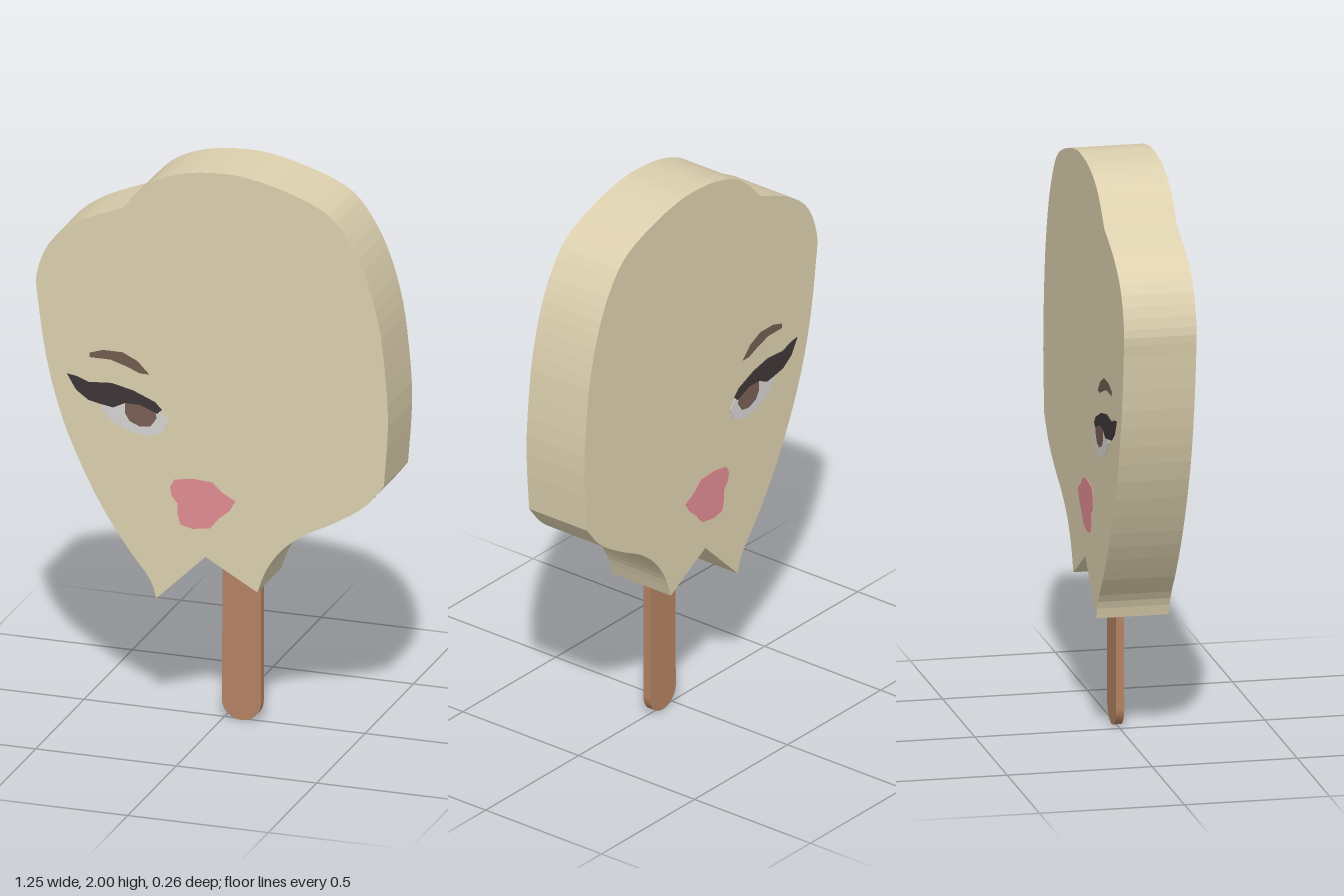
import * as THREE from 'three';

const mat = (name, color) => {
  const m = new THREE.MeshStandardMaterial({ color });
  m.name = name;
  return m;
};

const vectors = (pts) => pts.map(([x, y]) => new THREE.Vector2(x, y));

// Slab of a shape between two z values, with flat facets around the rim
function slab(name, shape, z0, z1, material, curveSegments = 6) {
  const geo = new THREE.ExtrudeGeometry(shape, { depth: z1 - z0, bevelEnabled: false, curveSegments });
  geo.translate(0, 0, z0);
  const mesh = new THREE.Mesh(geo, material);
  mesh.name = name;
  return mesh;
}

const HALF = 0.125;

// Smooth runs of the outline; sharp corners fall where one run meets the next
const RIGHT_SIDE = [
  [0.16, 0.51], [0.19, 0.59], [0.245, 0.67], [0.325, 0.735], [0.43, 0.79], [0.537, 0.86], [0.61, 0.945],
];
const CROWN = [
  [0.61, 0.945], [0.625, 1.18], [0.61, 1.395], [0.585, 1.555], [0.537, 1.71], [0.475, 1.825], [0.40, 1.905],
  [0.27, 1.96], [0.13, 1.994], [0.03, 2.0], [-0.10, 1.985], [-0.22, 1.935], [-0.32, 1.835],
];
const LEFT_SIDE = [
  [-0.32, 1.835], [-0.47, 1.77], [-0.575, 1.685], [-0.625, 1.565], [-0.62, 1.46], [-0.585, 1.235],
  [-0.52, 1.015], [-0.415, 0.79], [-0.31, 0.625], [-0.225, 0.515], [-0.20, 0.445],
];

// Face details: name, colour, raised height, closed outline
const DETAILS = [
  ['eyeWhite', 'white', 0.002, [
    [-0.40, 1.11], [-0.362, 1.13], [-0.31, 1.14], [-0.183, 1.115], [-0.156, 1.088], [-0.177, 1.045],
    [-0.23, 1.024], [-0.294, 1.034], [-0.352, 1.06]]],
  ['iris', 'iris', 0.003, [
    [-0.31, 1.14], [-0.204, 1.125], [-0.198, 1.093], [-0.22, 1.061], [-0.257, 1.056], [-0.294, 1.072],
    [-0.31, 1.098]]],
  ['lashes', 'lash', 0.004, [
    [-0.516, 1.215], [-0.484, 1.21], [-0.44, 1.194], [-0.36, 1.2], [-0.283, 1.183], [-0.204, 1.15],
    [-0.18, 1.125], [-0.195, 1.11], [-0.257, 1.135], [-0.31, 1.135], [-0.352, 1.114], [-0.39, 1.12],
    [-0.44, 1.13], [-0.484, 1.162]]],
  ['eyebrow', 'brow', 0.002, [
    [-0.436, 1.30], [-0.39, 1.315], [-0.32, 1.315], [-0.267, 1.29], [-0.225, 1.247], [-0.257, 1.247],
    [-0.31, 1.268], [-0.362, 1.284], [-0.436, 1.284]]],
  ['lips', 'pink', 0.002, [
    [-0.15, 0.854], [-0.135, 0.88], [-0.07, 0.891], [0, 0.886], [0.034, 0.854], [0.082, 0.828], [0.06, 0.79],
    [0.024, 0.759], [-0.008, 0.721], [-0.07, 0.711], [-0.114, 0.721], [-0.124, 0.759], [-0.124, 0.796],
    [-0.145, 0.822]]],
];

export function createModel() {
  const mats = {
    cream: mat('cream', 0xdcd0ae),
    wood: mat('wood', 0xb38362),
    white: mat('eye white', 0xd6d4d3),
    iris: mat('iris brown', 0x795e53),
    lash: mat('lash black', 0x3e3638),
    brow: mat('brow brown', 0x735d50),
    pink: mat('lip pink', 0xdf8c93),
  };
  const model = new THREE.Group();
  model.name = 'icePop';

  // Head-shaped slab with a notch above the stick
  const head = new THREE.Shape();
  head.moveTo(0.16, 0.51);
  for (const run of [RIGHT_SIDE, CROWN, LEFT_SIDE]) head.splineThru(vectors(run.slice(1)));
  head.lineTo(-0.025, 0.615);
  head.closePath();
  model.add(slab('head', head, -HALF, HALF, mats.cream, 3));

  // Flat stick with a rounded foot, running up into the head
  const stick = new THREE.Shape();
  stick.moveTo(0.135, 0.75);
  stick.lineTo(0, 0.75);
  stick.lineTo(-0.005, 0.07);
  stick.absarc(0.065, 0.07, 0.07, Math.PI, Math.PI * 2, false);
  stick.closePath();
  model.add(slab('stick', stick, -0.014, 0.014, mats.wood, 14));

  // The same face on both sides
  for (const side of ['front', 'back']) {
    const face = new THREE.Group();
    face.name = side + 'Face';
    for (const [name, colour, rise, pts] of DETAILS) {
      const shape = new THREE.Shape(vectors(pts));
      const [z0, z1] = side === 'front' ? [HALF - 0.001, HALF + rise] : [-HALF - rise, -HALF + 0.001];
      face.add(slab(name, shape, z0, z1, mats[colour]));
    }
    model.add(face);
  }
  return model;
}
